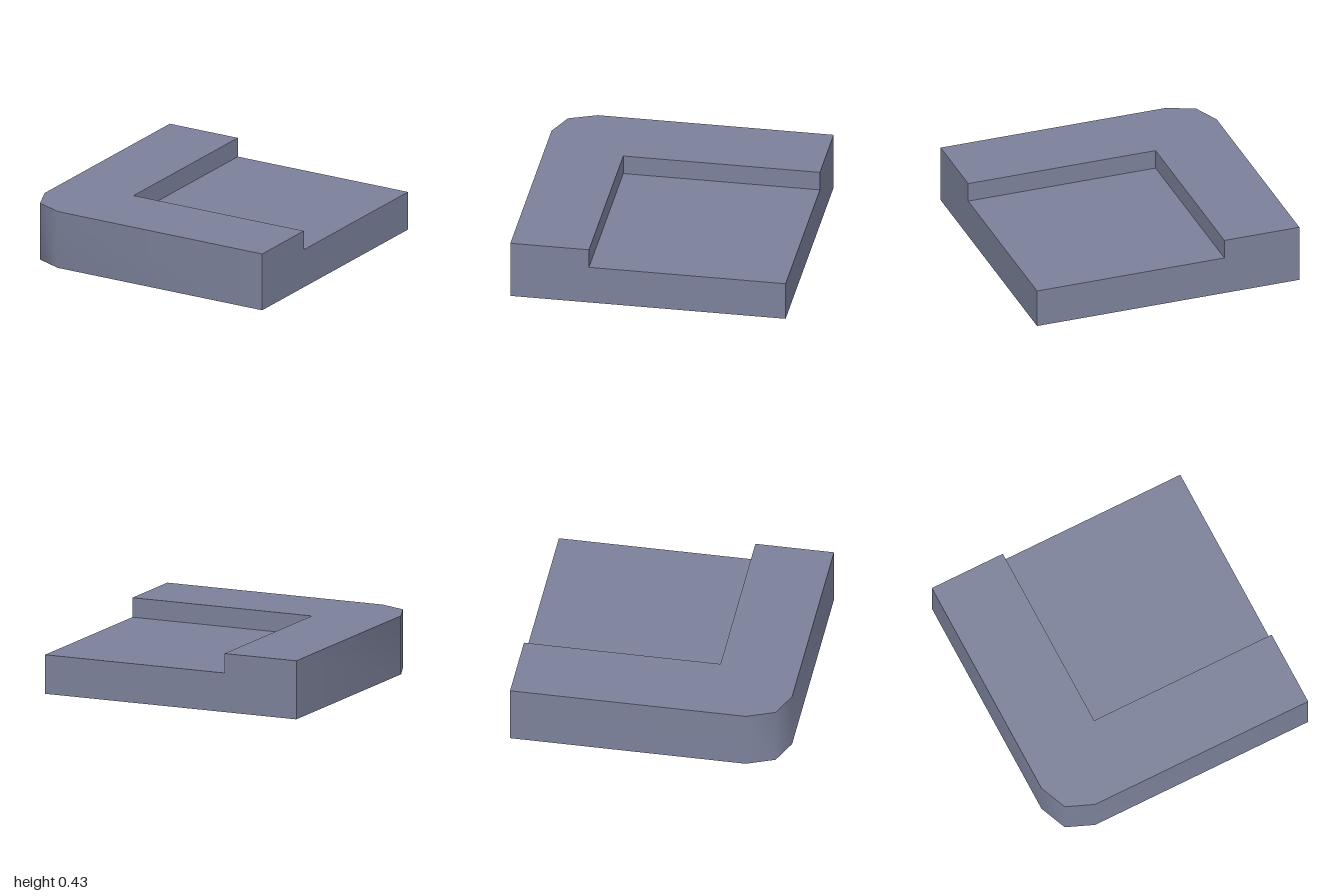
import * as THREE from 'three';
import { toCreasedNormals } from 'three/addons/utils/BufferGeometryUtils.js';

const U = 1 / 7; // the block is laid out on a grid of sevenths
const RIM_HEIGHT = 3 * U;
const FLOOR_HEIGHT = 2 * U;
const INNER = 3 * U; // inner edges of the rim, at x = -INNER and z = INNER
const RADIUS = 2 * U; // rounded outer corner

export function createModel() {
  const group = new THREE.Group();
  group.name = 'cornerTile';
  const slate = new THREE.MeshStandardMaterial({ color: 0x7c829b });
  slate.name = 'slate blue';

  // L-shaped rim, drawn in plan with shape y = -z
  const plan = new THREE.Shape();
  plan.moveTo(-1, 1);
  plan.lineTo(-1, -1 + RADIUS);
  plan.absarc(-1 + RADIUS, -1 + RADIUS, RADIUS, Math.PI, Math.PI * 1.5, false);
  plan.lineTo(1, -1);
  plan.lineTo(1, -INNER);
  plan.lineTo(-INNER, -INNER);
  plan.lineTo(-INNER, 1);
  plan.closePath();
  // One curve segment gives the rounded corner two facets
  const rimGeometry = new THREE.ExtrudeGeometry(plan, {
    depth: RIM_HEIGHT, bevelEnabled: false, curveSegments: 1,
  });
  rimGeometry.rotateX(-Math.PI / 2);
  const rim = new THREE.Mesh(toCreasedNormals(rimGeometry, 0.9), slate);
  rim.name = 'raisedRim';
  group.add(rim);

  // Lower square floor filling the inside of the rim
  const size = 1 + INNER;
  const floor = new THREE.Mesh(new THREE.BoxGeometry(size, FLOOR_HEIGHT, size), slate);
  floor.name = 'floor';
  floor.position.set(1 - size / 2, FLOOR_HEIGHT / 2, -1 + size / 2);
  group.add(floor);

  return group;
}
